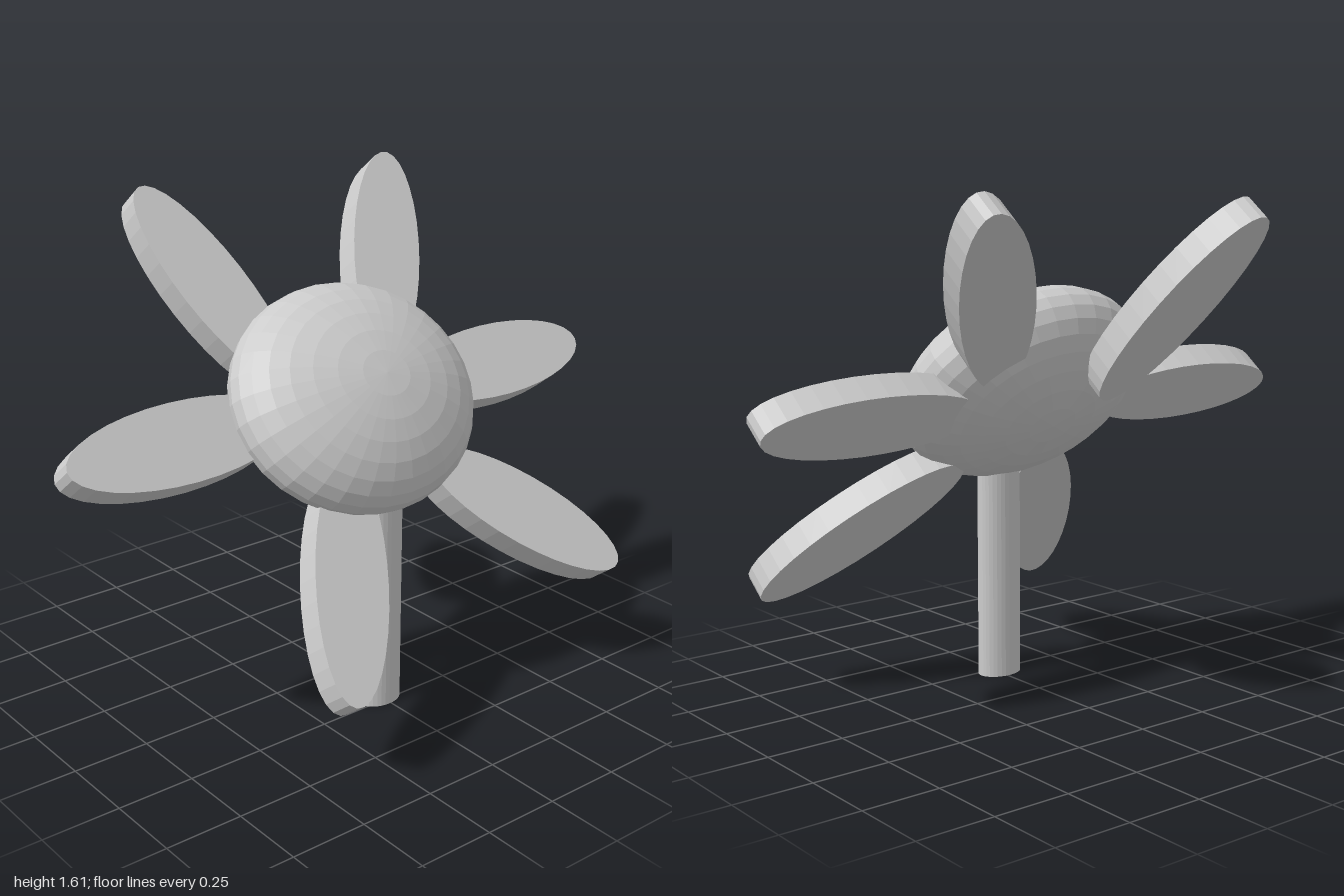
import * as THREE from 'three';

const material = new THREE.MeshStandardMaterial({ color: 0xcccccc, flatShading: true });

function addPart(parent, name, geometry) {
  const mesh = new THREE.Mesh(geometry, material);
  mesh.name = name;
  parent.add(mesh);
  return mesh;
}

export function createModel() {
  const flower = new THREE.Group();
  flower.name = 'flower';

  // Upright stem, slightly wider than deep, ending inside the centre
  const stem = addPart(flower, 'stem', new THREE.CylinderGeometry(1, 1, 0.86, 32));
  stem.scale.set(0.077, 1, 0.056);
  stem.position.set(-0.007, 0.43, 0.223);

  // Blossom leaning back: local y runs up the blossom, local z is its facing direction
  const blossom = new THREE.Group();
  blossom.name = 'blossom';
  blossom.position.set(-0.005, 0.992, 0.092);
  blossom.rotation.x = -0.66;
  flower.add(blossom);

  // Flattened ball in the middle, pole facing forward
  const ball = new THREE.SphereGeometry(1, 32, 16).rotateX(Math.PI / 2);
  addPart(blossom, 'flowerCentre', ball).scale.set(0.435, 0.377, 0.198);

  // Flat oval petals: x, y, z of the middle and lean in degrees towards +x
  const petals = [
    [0.623, 0.009, -0.075, 90],
    [0.385, 0.461, -0.077, 27],
    [-0.225, 0.503, -0.192, -19],
    [-0.613, 0.007, -0.075, -90],
    [-0.258, -0.533, -0.067, -156],
    [0.475, -0.499, -0.067, 133],
  ];
  const disc = new THREE.CylinderGeometry(1, 1, 1, 32).rotateX(Math.PI / 2);
  petals.forEach(([x, y, z, lean], i) => {
    const petal = addPart(blossom, `petal${i + 1}`, disc);
    petal.scale.set(0.125, 0.382, 0.096);
    petal.position.set(x, y, z);
    petal.rotation.z = -THREE.MathUtils.degToRad(lean);
  });

  return flower;
}
